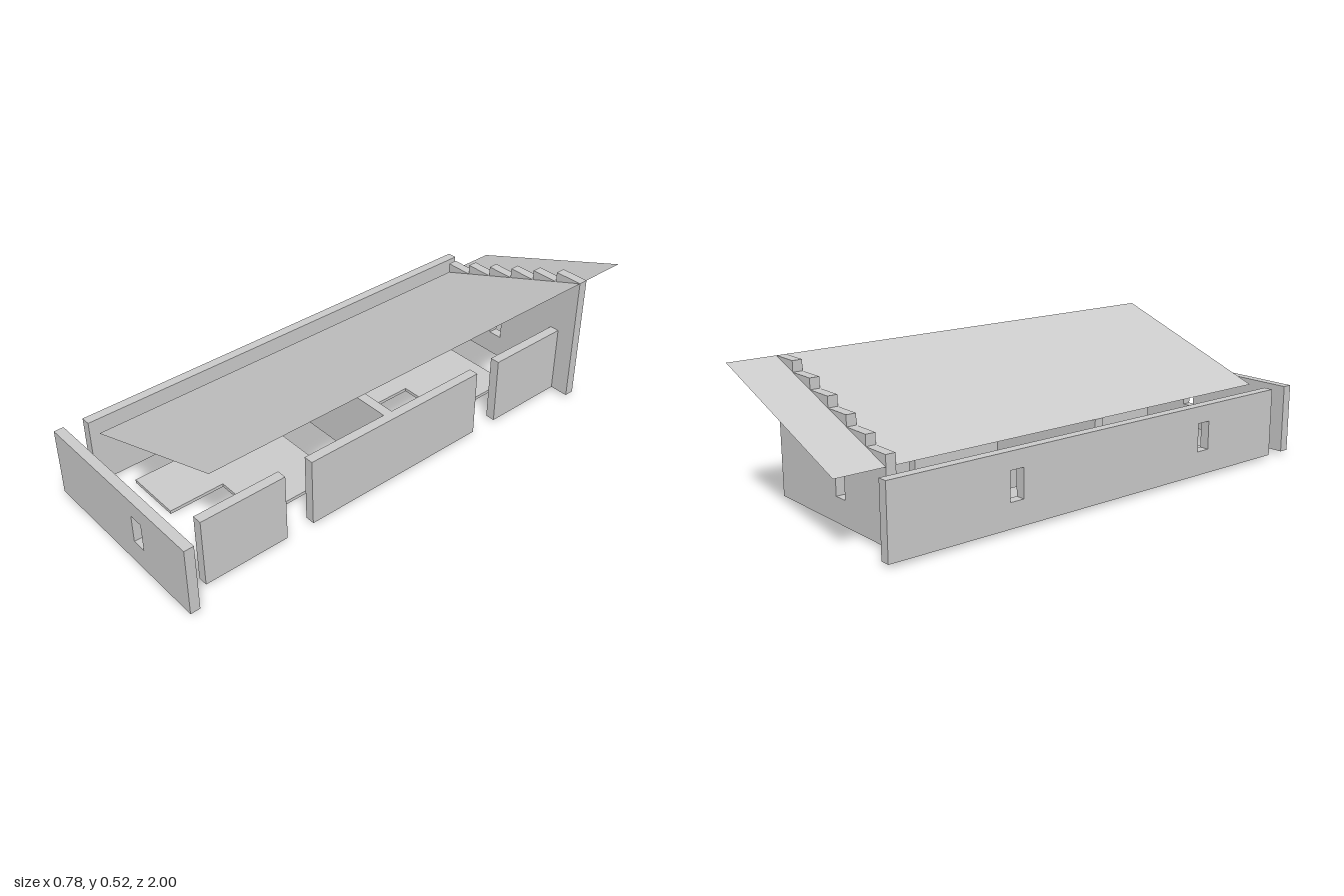
import * as THREE from 'three';

const T = 0.037;            // wall thickness
const Y0 = 0.013, Y1 = 0.278; // wall bottom and top
const U = 1 / 9;            // planning grid

const grey = new THREE.MeshStandardMaterial({ color: 0xcccccc, side: THREE.DoubleSide });
grey.name = 'plain grey';

export function createModel() {
  const model = new THREE.Group();
  model.name = 'house';

  const add = (name, geometry) => {
    const mesh = new THREE.Mesh(geometry, grey);
    mesh.name = name;
    model.add(mesh);
  };

  // Box given by its lower and upper corners
  const block = (name, x0, x1, y0, y1, z0, z1) =>
    add(name, new THREE.BoxGeometry(x1 - x0, y1 - y0, z1 - z0)
      .translate((x0 + x1) / 2, (y0 + y1) / 2, (z0 + z1) / 2));

  // Upright slab from an outline, with window openings centred at the given positions
  const slab = (outline, windows) => {
    const shape = new THREE.Shape(outline.map(([a, b]) => new THREE.Vector2(a, b)));
    for (const c of windows) {
      const w = U / 4, lo = 0.105, hi = 0.213;
      shape.holes.push(new THREE.Path([
        new THREE.Vector2(c - w, lo), new THREE.Vector2(c - w, hi),
        new THREE.Vector2(c + w, hi), new THREE.Vector2(c + w, lo),
      ]));
    }
    return new THREE.ExtrudeGeometry(shape, { depth: T, bevelEnabled: false });
  };
  const rect = (a, b) => [[a, Y0], [b, Y0], [b, Y1], [a, Y1]];

  // Front wall and long low side wall
  add('frontWall', slab(rect(-3.5 * U, 3.5 * U), [U]).translate(0, 0, 1 - T));
  add('lowSideWall', slab(rect(-8 * U, 8 * U), [4.5 * U, -3.5 * U])
    .rotateY(-Math.PI / 2).translate(-3.5 * U + T, 0, 0));

  // Back gable wall with a stepped top
  const rise = 0.04;
  const gable = [[-2.5 * U, Y0], [3.5 * U, Y0]];
  for (let i = 5; i >= 0; i--) {
    const top = Y1 + (i + 1) * rise;
    gable.push([(i - 1.5) * U, top], [(i - 2.5) * U, top]);
  }
  add('steppedGableWall', slab(gable, [0]).translate(0, 0, -7 * U - T));

  // Open-sided row of wall panels with door gaps
  for (const [a, b] of [[5, 8], [-3, 4], [-7, -4]])
    block('sidePanel', 2.5 * U, 2.5 * U + T, Y0, Y1, a * U, b * U);

  // Partition between the two rooms
  block('partition', -2.5 * U, 2.5 * U, Y0, Y1, 0.056, 0.056 + T);

  // Floor slabs, one pair per room
  for (const z of [2 * U, -6 * U]) {
    block('largeFloorSlab', -1.5 * U, 1.5 * U, 0, Y0, z, z + 3 * U);
    block('smallFloorSlab', -2.5 * U, -0.5 * U, 0, Y0, z + 3 * U, z + 5 * U);
  }

  // Thin sloping roof sheet
  const run = 6 * U, height = 6 * rise;
  add('roof', new THREE.PlaneGeometry(Math.hypot(run, height), 17 * U)
    .rotateX(-Math.PI / 2).rotateZ(Math.atan2(height, run))
    .translate(0.5 * U, Y1 + height / 2, -0.5 * U));

  return model;
}
